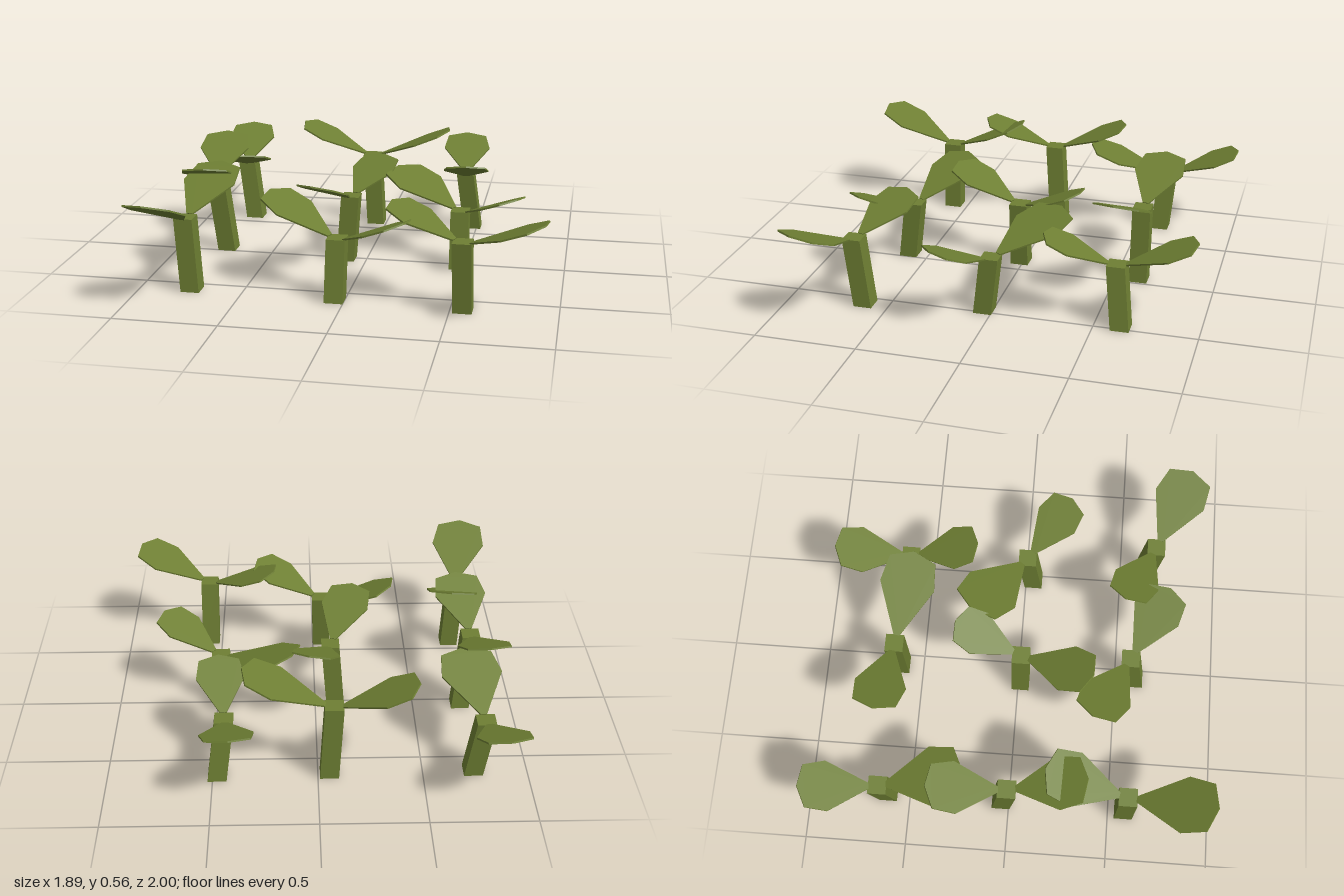
import * as THREE from 'three';

const green = new THREE.MeshStandardMaterial({ color: 0x6e7f33 });
green.name = 'olive green';

// Each sprout: stem foot [x, z], stem top [x, y, z], two leaves [tip x, tip y, tip z, half width]
const sprouts = [
  { foot: [-0.74, -0.61], top: [-0.784, 0.31, -0.635], leaves: [[-0.847, 0.44, -1.0, 0.124], [-0.72, 0.45, -0.22, 0.148]] },
  { foot: [-0.055, -0.618], top: [-0.077, 0.39, -0.62], leaves: [[0.351, 0.555, -0.55, 0.138], [-0.467, 0.54, -0.672, 0.127]] },
  { foot: [0.478, -0.63], top: [0.438, 0.31, -0.595], leaves: [[0.404, 0.44, -0.968, 0.124], [0.472, 0.44, -0.248, 0.116]] },
  { foot: [-0.74, -0.04], top: [-0.78, 0.4, -0.005], leaves: [[-0.826, 0.54, -0.386, 0.127], [-0.736, 0.54, 0.377, 0.13]] },
  { foot: [-0.103, 0.012], top: [-0.077, 0.34, 0.012], leaves: [[0.034, 0.47, -0.322, 0.116], [-0.203, 0.48, 0.377, 0.122]] },
  { foot: [0.475, 0.04], top: [0.475, 0.29, 0.006], leaves: [[0.119, 0.43, -0.253, 0.15], [0.768, 0.42, 0.216, 0.116]] },
  { foot: [-0.747, 0.578], top: [-0.768, 0.365, 0.578], leaves: [[-0.7, 0.53, 0.171, 0.135], [-0.831, 0.535, 0.992, 0.138]] },
  { foot: [-0.045, 0.6], top: [-0.04, 0.3, 0.562], leaves: [[-0.404, 0.46, 0.382, 0.13], [0.298, 0.44, 0.737, 0.125]] },
  { foot: [0.56, 0.62], top: [0.557, 0.35, 0.663], leaves: [[0.208, 0.48, 0.51, 0.12], [0.931, 0.495, 0.822, 0.135]] },
];

const STEM = 0.09;
const THICK = 0.008;

// Square post, sheared so that its level top sits off its foot
function makeStem([fx, fz], [tx, ty, tz]) {
  const geo = new THREE.BoxGeometry(STEM, ty, STEM).toNonIndexed();
  const pos = geo.attributes.position;
  for (let i = 0; i < pos.count; i++) {
    const t = pos.getY(i) / ty + 0.5;
    pos.setXYZ(i,
      pos.getX(i) + fx + (tx - fx) * t,
      t * ty,
      pos.getZ(i) + fz + (tz - fz) * t);
  }
  geo.computeVertexNormals();
  const mesh = new THREE.Mesh(geo, green);
  mesh.name = 'stem';
  return mesh;
}

// Thin flat paddle leaf, rising from the stem top to its tip
function makeLeaf(top, [x, y, z, half]) {
  const tip = new THREE.Vector3(x, y, z);
  const start = new THREE.Vector3(...top);
  const out = tip.clone().sub(start).setY(0).normalize();
  start.addScaledVector(out, 0.043);
  const along = tip.clone().sub(start);
  const length = along.length();
  along.normalize();
  const side = along.clone().cross(new THREE.Vector3(0, 1, 0)).normalize();
  const normal = side.clone().cross(along);

  const right = [[0.015, 0], [half, 0.59 * length], [0.84 * half, 0.905 * length]];
  const left = right.map(([px, py]) => [-px, py]).reverse();
  const outline = [...right, [0, length], ...left];
  const shape = new THREE.Shape(outline.map(([px, py]) => new THREE.Vector2(px, py)));
  const geo = new THREE.ExtrudeGeometry(shape, { depth: THICK, bevelEnabled: false });
  geo.translate(0, 0, -THICK / 2);
  geo.applyMatrix4(new THREE.Matrix4().makeBasis(side, along, normal).setPosition(start));
  const mesh = new THREE.Mesh(geo, green);
  mesh.name = 'leaf';
  return mesh;
}

export function createModel() {
  const model = new THREE.Group();
  model.name = 'seedlings';
  for (const { foot, top, leaves } of sprouts) {
    const sprout = new THREE.Group();
    sprout.name = 'sprout';
    sprout.add(makeStem(foot, top));
    for (const leaf of leaves) sprout.add(makeLeaf(top, leaf));
    model.add(sprout);
  }
  return model;
}
